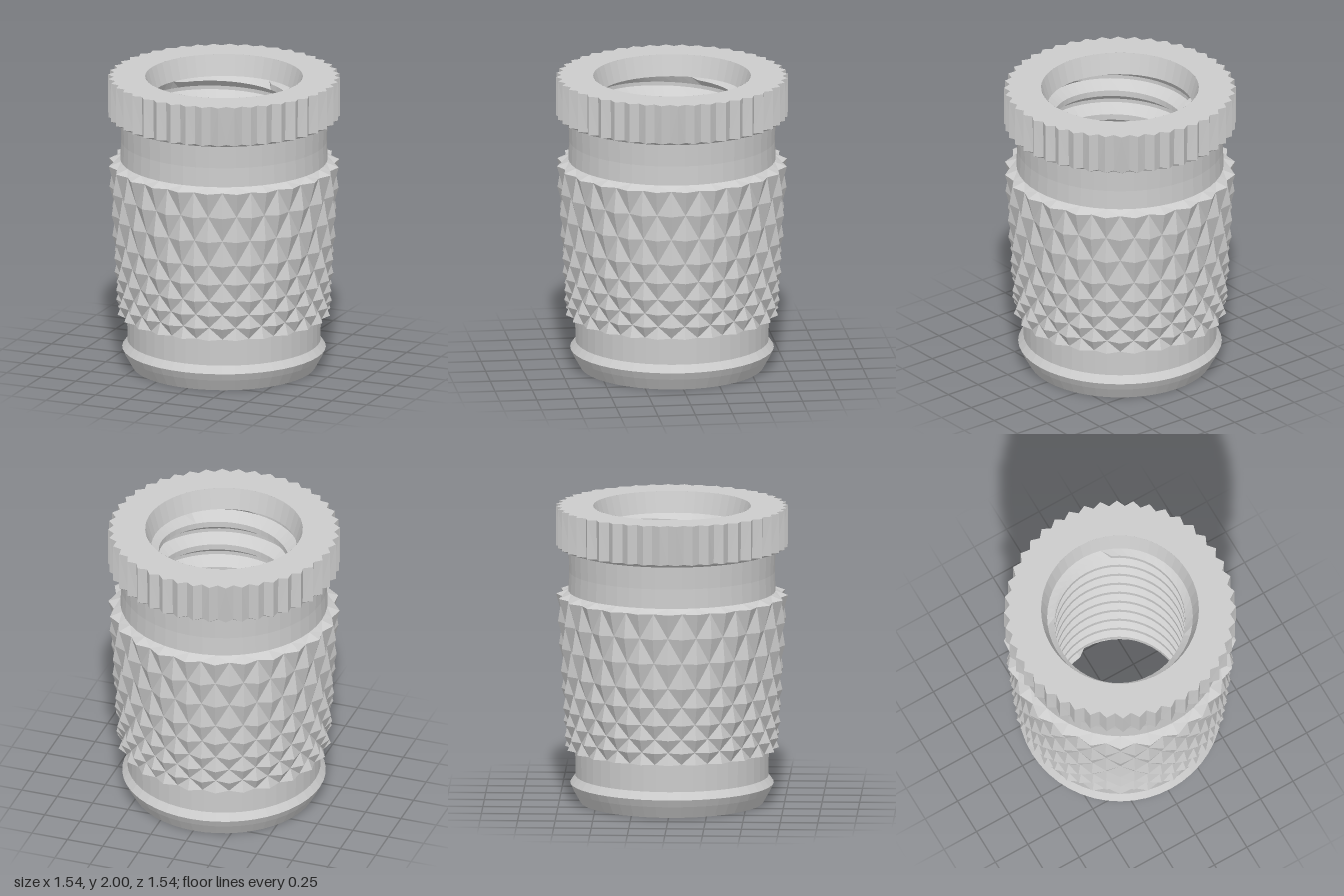
import * as THREE from 'three';

const material = new THREE.MeshStandardMaterial({ color: 0xcccccc, flatShading: true, side: THREE.DoubleSide });

function addMesh(group, name, geometry) {
  const mesh = new THREE.Mesh(geometry, material);
  mesh.name = name;
  group.add(mesh);
}

// Ring of quads through stacked rows [y, tipRadius, rootRadius, shift]; tips and
// roots alternate around each row, offset by one column where shift is 1.
// Each quad is split along the line between its two roots.
function toothedRing(cols, rows) {
  const isTip = (c, r) => (c + rows[r][3]) % 2 === 0;
  const vertices = [];
  const indices = [];
  rows.forEach(([y, tip, root], r) => {
    for (let c = 0; c < cols; c++) {
      const a = (c / cols) * Math.PI * 2;
      const radius = isTip(c, r) ? tip : root;
      vertices.push(radius * Math.sin(a), y, radius * Math.cos(a));
    }
  });
  for (let r = 0; r < rows.length - 1; r++) {
    for (let c = 0; c < cols; c++) {
      const n = (c + 1) % cols;
      const a = r * cols + c, b = r * cols + n;
      const d = a + cols, e = b + cols;
      if (isTip(c, r)) indices.push(a, b, d, b, e, d);
      else indices.push(a, b, e, a, e, d);
    }
  }
  const geometry = new THREE.BufferGeometry();
  geometry.setAttribute('position', new THREE.Float32BufferAttribute(vertices, 3));
  geometry.setIndex(indices);
  geometry.computeVertexNormals();
  return geometry;
}

function lathe(points, segments = 48) {
  return new THREE.LatheGeometry(points.map(([r, y]) => new THREE.Vector2(r, y)), segments);
}

// Diamond knurl: staggered pyramids, tapering and getting shorter downwards
function knurlGeometry() {
  const heights = [0.37, 0.45, 0.54, 0.64, 0.76, 0.89, 1.06, 1.23, 1.4];
  const rows = heights.map((y, i) => {
    const tip = THREE.MathUtils.mapLinear(y, 0.37, 1.4, 0.713, 0.772);
    return [y, tip, tip - 0.037, i % 2];
  });
  return toothedRing(48, [[0.37, 0.645, 0.645, 0], ...rows, [1.43, 0.69, 0.69, 0]]);
}

// Bore: a zigzag profile sheared upwards by one pitch per turn makes the thread;
// it runs out into a tapered mouth at each end
function boreGeometry() {
  const top = 1.86, bottom = 0.12, pitch = 0.175, segments = 48;
  const topRadius = 0.485, bottomRadius = 0.475;
  const profile = [[0.525, 2], [topRadius, top]];
  for (let y = top; y > bottom - pitch * 1.5; y -= pitch) {
    profile.push([0.51, y], [0.51, y - 0.025], [0.435, y - 0.08], [0.435, y - 0.12]);
  }
  profile.push([bottomRadius, bottom], [0.52, 0]);

  const geometry = lathe(profile, segments);
  const position = geometry.attributes.position;
  const count = profile.length;
  for (let i = 0; i < position.count; i++) {
    const j = i % count;
    if (j < 2 || j >= count - 2) continue;
    const turn = Math.floor(i / count) / segments;
    const y = profile[j][1] + turn * pitch;
    let radius = profile[j][0];
    if (y >= top) radius = topRadius;
    if (y <= bottom) radius = bottomRadius;
    const angle = turn * Math.PI * 2;
    position.setXYZ(i, radius * Math.sin(angle), THREE.MathUtils.clamp(y, bottom, top), radius * Math.cos(angle));
  }
  geometry.computeVertexNormals();
  return geometry;
}

export function createModel() {
  const group = new THREE.Group();
  group.name = 'threadedInsert';

  // Straight-toothed collar with a flat annular top
  addMesh(group, 'collar', toothedRing(88, [
    [1.71, 0.69, 0.69, 1],
    [1.735, 0.772, 0.73, 1],
    [2, 0.772, 0.735, 1],
    [2, 0.525, 0.525, 1],
  ]));

  addMesh(group, 'neck', lathe([[0.69, 1.43], [0.685, 1.56], [0.69, 1.71]]));
  addMesh(group, 'knurledBody', knurlGeometry());

  // Plain foot with a flared, chamfered lip
  addMesh(group, 'foot', lathe([
    [0.52, 0], [0.61, 0], [0.655, 0.08], [0.678, 0.13], [0.65, 0.17], [0.643, 0.18], [0.645, 0.37],
  ]));

  addMesh(group, 'threadedBore', boreGeometry());
  return group;
}
